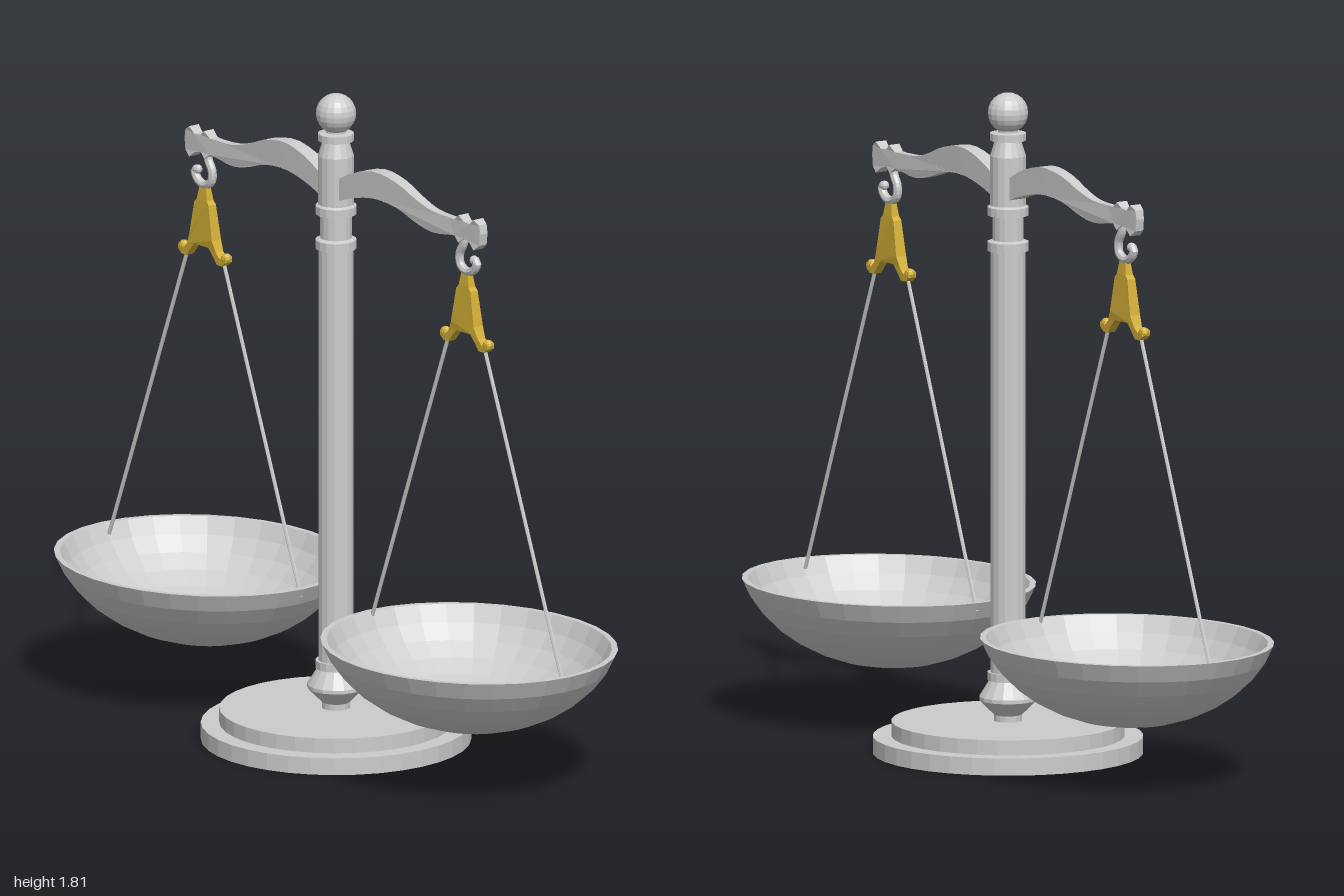
import * as THREE from 'three';

const grey = new THREE.MeshStandardMaterial({ color: 0xcccccc, flatShading: true });
const greyThin = new THREE.MeshStandardMaterial({ color: 0xcccccc, flatShading: true, side: THREE.DoubleSide });
const gold = new THREE.MeshStandardMaterial({ color: 0xd4af37, flatShading: true });

const v2 = (pts) => pts.map(([x, y]) => new THREE.Vector2(x, y));
const v3 = (pts) => pts.map(([x, y, z = 0]) => new THREE.Vector3(x, y, z));

function add(parent, name, geometry, material = grey) {
  const mesh = new THREE.Mesh(geometry, material);
  mesh.name = name;
  parent.add(mesh);
  return mesh;
}

const lathe = (pts, sides) => new THREE.LatheGeometry(v2(pts), sides);

function tube(pts, radius, steps, sides = 8) {
  return new THREE.TubeGeometry(new THREE.CatmullRomCurve3(v3(pts)), steps, radius, sides);
}

// Flat outline given thickness in z by a rule of x and y
function plate(outline, halfDepth) {
  const geo = new THREE.ExtrudeGeometry(new THREE.Shape(outline), { depth: 2, bevelEnabled: false });
  const p = geo.attributes.position;
  for (let i = 0; i < p.count; i++) {
    p.setZ(i, (p.getZ(i) - 1) * halfDepth(p.getX(i), p.getY(i)));
  }
  geo.computeVertexNormals();
  return geo;
}

// Linear interpolation through [position, value] stops
function ramp(stops, t) {
  for (let i = 1; i < stops.length; i++) {
    const [a, va] = stops[i - 1], [b, vb] = stops[i];
    if (t <= b) return va + (vb - va) * Math.max(0, (t - a) / (b - a));
  }
  return stops[stops.length - 1][1];
}

// One beam arm with everything that hangs from it, reaching towards +x
function createArm() {
  const arm = new THREE.Group();
  const cx = 0.56;

  // Wavy beam with a flared end
  const top = new THREE.SplineCurve(v2([[0.03, 1.575], [0.1, 1.61], [0.19, 1.632], [0.28, 1.62], [0.36, 1.59], [0.43, 1.572], [0.52, 1.57]]));
  const bottom = new THREE.SplineCurve(v2([[0.52, 1.525], [0.43, 1.513], [0.36, 1.525], [0.28, 1.55], [0.19, 1.557], [0.1, 1.54], [0.03, 1.515]]));
  const knob = v2([[0.542, 1.587], [0.56, 1.572], [0.585, 1.57], [0.605, 1.587], [0.625, 1.575], [0.63, 1.55],
    [0.625, 1.518], [0.605, 1.502], [0.585, 1.518], [0.56, 1.525], [0.54, 1.51]]);
  const beamDepth = [[0.03, 0.024], [0.2, 0.021], [0.5, 0.01], [0.54, 0.017], [0.57, 0.012], [0.605, 0.017], [0.63, 0.012]];
  add(arm, 'beam', plate([...top.getPoints(16), ...knob, ...bottom.getPoints(16)], (x) => ramp(beamDepth, x)));

  // Hook under the beam end
  const hook = [[0.545, 1.535], [0.543, 1.505], [0.527, 1.475], [0.53, 1.445], [0.56, 1.43], [0.59, 1.442], [0.6, 1.465], [0.588, 1.468]];
  add(arm, 'hook', tube(hook, 0.012, 24));
  add(arm, 'hookTip', new THREE.SphereGeometry(0.013, 8, 6).translate(0.588, 1.468, 0));

  // Gold hanger with two curled feet
  const half = [[0.013, 1.43], [0.021, 1.39], [0.03, 1.38], [0.048, 1.285], [0.062, 1.255], [0.078, 1.24], [0.088, 1.253],
    [0.1, 1.248], [0.1, 1.234], [0.085, 1.222], [0.064, 1.222], [0.05, 1.24], [0.03, 1.262]];
  const outline = [...half, ...half.slice().reverse().map(([x, y]) => [-x, y])];
  const hangerDepth = [[1.22, 0.012], [1.26, 0.013], [1.29, 0.017], [1.37, 0.014], [1.43, 0.008]];
  const hanger = add(arm, 'hanger', plate(v2(outline), (x, y) => ramp(hangerDepth, y)), gold);
  hanger.position.x = cx - 0.003;
  for (const s of [-1, 1]) {
    add(arm, 'hangerCurl', new THREE.SphereGeometry(0.015, 8, 6).translate(cx - 0.003 + s * 0.09, 1.243, 0), gold);
    // Straight cord from the hanger foot to the pan rim
    const cord = new THREE.LineCurve3(...v3([[cx - 0.005 + s * 0.077, 1.23], [cx - 0.003 + s * 0.408, 0.365]]));
    add(arm, 'cord', new THREE.TubeGeometry(cord, 1, 0.0055, 6), greyThin);
  }

  // Oval pan: outer shell, rim and inner shell
  const outer = [], inner = [];
  for (let i = 0; i <= 8; i++) {
    const a = (i / 8) * 1.3;
    const k = Math.sin(a) / Math.sin(1.3);
    const h = (1 - Math.cos(a)) / (1 - Math.cos(1.3));
    outer.push([0.433 * k, 0.157 + 0.233 * h]);
    inner.unshift([0.415 * k, 0.175 + 0.215 * h]);
  }
  const pan = add(arm, 'pan', lathe([...outer, ...inner], 32), greyThin);
  pan.scale.z = 0.877;
  pan.position.x = cx + 0.007;
  return arm;
}

export function createModel() {
  const model = new THREE.Group();
  model.name = 'balanceScale';

  // Two-step round base
  add(model, 'base', lathe([[0, 0], [0.365, 0], [0.365, 0.047], [0.315, 0.047], [0.315, 0.088], [0, 0.088]], 36));

  // Turned column with collars
  add(model, 'column', lathe([
    [0.038, 0.08], [0.038, 0.105], [0.078, 0.145], [0.078, 0.155], [0.05, 0.2],
    [0.056, 0.2], [0.056, 0.222], [0.048, 0.222], [0.048, 1.375],
    [0.056, 1.375], [0.056, 1.4], [0.043, 1.405], [0.043, 1.47],
    [0.056, 1.472], [0.056, 1.495], [0.049, 1.5], [0.049, 1.635], [0.036, 1.675],
    [0.049, 1.677], [0.049, 1.697], [0.028, 1.7], [0.028, 1.72],
  ], 16));

  // Ball finial
  add(model, 'finial', new THREE.SphereGeometry(0.055, 16, 12).translate(0, 1.752, 0));

  // Matching arms on both sides
  for (const [name, turn] of [['leftArm', 0], ['rightArm', Math.PI]]) {
    const arm = createArm();
    arm.name = name;
    arm.rotation.y = turn;
    model.add(arm);
  }
  return model;
}
